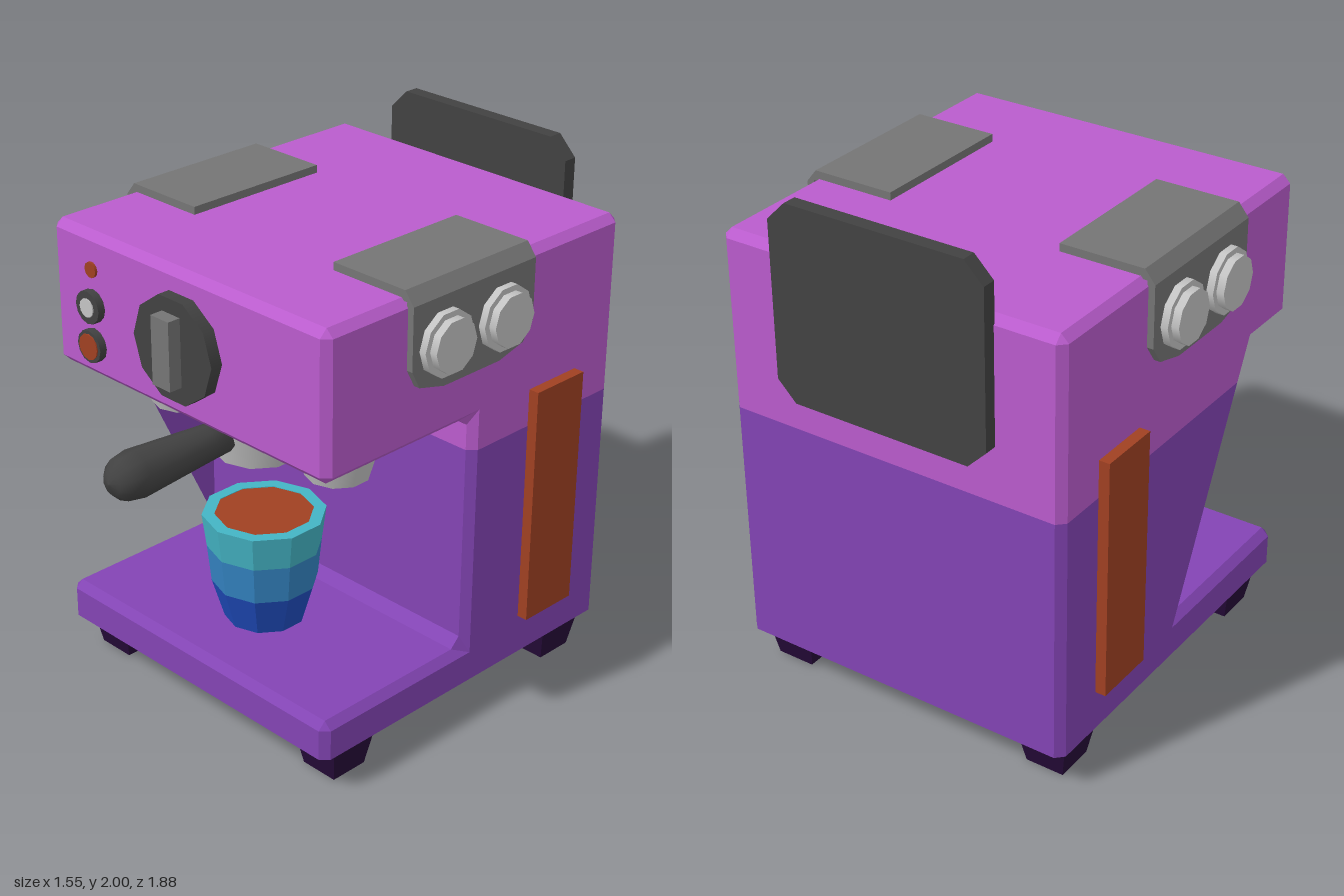
import * as THREE from 'three';

const mat = (name, color, side = THREE.FrontSide) => {
  const m = new THREE.MeshStandardMaterial({ color, side });
  m.name = name;
  return m;
};

export function createModel() {
  const model = new THREE.Group();
  model.name = 'espressoMachine';
  const pink = mat('pink', 0xba5ccd, THREE.DoubleSide);
  const purple = mat('purple', 0x8344b4, THREE.DoubleSide);
  const plum = mat('darkPlum', 0x250a38);
  const rust = mat('rust', 0xa04022);
  const grey = mat('grey', 0x757575);
  const dark = mat('charcoal', 0x424242);
  const light = mat('lightGrey', 0xc4c4c4);
  const cyan = mat('cyan', 0x44b4c4, THREE.DoubleSide);
  const azure = mat('azure', 0x3484c2, THREE.DoubleSide);
  const blue = mat('blue', 0x1f4cbe, THREE.DoubleSide);

  const add = (name, geo, material, x = 0, y = 0, z = 0) => {
    const m = new THREE.Mesh(geo, material);
    m.name = name;
    m.position.set(x, y, z);
    model.add(m);
    return m;
  };
  const box = (w, h, d) => new THREE.BoxGeometry(w, h, d);
  const cyl = (rTop, rBottom, h, n = 10) => new THREE.CylinderGeometry(rTop, rBottom, h, n);
  const flat = (geo) => {
    const g = geo.index ? geo.toNonIndexed() : geo;
    g.computeVertexNormals();
    return g;
  };
  const shapeOf = (pts) => new THREE.Shape(pts.map(([a, b]) => new THREE.Vector2(a, b)));
  // Outline in (z, y) turned to face outward on side s
  const sideShape = (pts, s) => shapeOf(pts.map(([z, y]) => [-s * z, y]));

  // Body: open shell swept across x, rows are [z, y, bevelled z, bevelled y]
  const W = 0.695, B = 0.03;
  const shell = (rows) => {
    const pos = [], idx = [];
    rows.forEach(([z, y, zi, yi], r) => {
      pos.push(-W, yi, zi, -W + B, y, z, W - B, y, z, W, yi, zi);
      if (r === 0) return;
      for (let i = 0; i < 3; i++) {
        const a = (r - 1) * 4 + i, d = r * 4 + i;
        idx.push(a, a + 1, d + 1, a, d + 1, d);
      }
    });
    const g = new THREE.BufferGeometry();
    g.setAttribute('position', new THREE.Float32BufferAttribute(pos, 3));
    g.setIndex(idx);
    return flat(g);
  };
  const cap = (name, pts, s, material) => {
    const g = new THREE.ShapeGeometry(sideShape(pts, s));
    g.rotateY(s * Math.PI / 2);
    add(name, g, material, s * W);
  };
  add('baseAndInnerWall', shell([
    [0.59, 0.15, 0.56, 0.15], [0.59, 0.27, 0.56, 0.27], [0.56, 0.3, 0.56, 0.27],
    [-0.09, 0.3, -0.16, 0.27], [-0.13, 0.34, -0.16, 0.27], [-0.13, 1.11, -0.16, 1.11],
  ]), purple);
  add('lowerBack', shell([[-0.89, 1.11, -0.86, 1.11], [-0.89, 0.15, -0.86, 0.15]]), purple);
  add('head', shell([
    [-0.13, 1.11, -0.16, 1.11], [-0.13, 1.21, -0.16, 1.27], [-0.09, 1.24, -0.16, 1.27],
    [0.56, 1.24, 0.56, 1.27], [0.59, 1.27, 0.56, 1.27], [0.59, 1.77, 0.56, 1.77],
    [0.56, 1.8, 0.56, 1.77], [-0.86, 1.8, -0.86, 1.77], [-0.89, 1.77, -0.86, 1.77],
    [-0.89, 1.11, -0.86, 1.11],
  ]), pink);
  // Side walls; the right one has a sloping brace below the head
  for (const s of [1, -1]) {
    const zMid = s > 0 ? -0.16 : 0.243, zTop = s > 0 ? -0.16 : 0.32;
    cap('lowerSide', [[0.56, 0.15], [0.56, 0.27], [-0.16, 0.27], [zMid, 1.11],
      [-0.86, 1.11], [-0.86, 0.15]], s, purple);
    cap('upperSide', [[zMid, 1.11], [zTop, 1.27], [0.56, 1.27], [0.56, 1.77],
      [-0.86, 1.77], [-0.86, 1.11]], s, pink);
  }

  // Back panel with clipped corners
  const c = 0.075, pw = 0.433, y0 = 1.25, y1 = 2;
  add('backPanel', new THREE.ExtrudeGeometry(shapeOf([
    [-pw + c, y0], [pw - c, y0], [pw, y0 + c], [pw, y1 - c],
    [pw - c, y1], [-pw + c, y1], [-pw, y1 - c], [-pw, y0 + c],
  ]), { depth: 0.055, bevelEnabled: false }), dark, 0, 0, -0.94);

  for (const s of [1, -1]) {
    // Grey saddle plate folded over the top edge
    const fold = shapeOf([[0.35, 1.83], [0.68, 1.83], [0.72, 1.78], [0.72, 1.75],
      [0.69, 1.75], [0.69, 1.79], [0.35, 1.79]].map(([x, y]) => [s * x, y]));
    add('saddleTop', new THREE.ExtrudeGeometry(fold, { depth: 0.61, bevelEnabled: false }), grey, 0, 0, -0.395);
    const flap = new THREE.ExtrudeGeometry(sideShape([[0.215, 1.75], [0.215, 1.545], [0.178, 1.476],
      [0.056, 1.444], [-0.225, 1.444], [-0.347, 1.476], [-0.395, 1.545], [-0.395, 1.75]], s),
    { depth: 0.025, bevelEnabled: false });
    flap.rotateY(s * Math.PI / 2);
    add('saddleSide', flap, grey, s * 0.695);

    // Round side dials
    for (const z of [0.061, -0.232]) {
      add('dialRim', cyl(0.122, 0.122, 0.035), light, s * 0.73, 1.61, z).rotation.z = Math.PI / 2;
      add('dialCap', cyl(0.1, 0.1, 0.06), light, s * 0.747, 1.61, z).rotation.z = Math.PI / 2;
    }

    add('sideTrim', box(0.045, 0.945, 0.25), rust, s * 0.714, 0.783, -0.552);

    // Tapered feet
    for (const z of [0.413, -0.722]) {
      const foot = cyl(0.146, 0.108, 0.15, 4);
      foot.rotateY(Math.PI / 4);
      add('foot', flat(foot), plum, s * 0.565, 0.075, z);
    }
  }

  // Front controls
  const disc = (name, r, depth, material, x, y, n = 10) => {
    const g = cyl(r, r, depth, n);
    g.rotateY(Math.PI / 2);
    g.rotateX(Math.PI / 2);
    add(name, g, material, x, y, 0.585 + depth / 2);
  };
  disc('knob', 0.2, 0.053, dark, 0, 1.523);
  add('knobGrip', box(0.09, 0.26, 0.06), grey, 0, 1.528, 0.66);
  disc('indicatorLamp', 0.03, 0.015, rust, -0.475, 1.663);
  disc('upperButtonRim', 0.063, 0.035, dark, -0.475, 1.525, 12);
  disc('upperButton', 0.036, 0.04, light, -0.475, 1.525, 12);
  disc('lowerButtonRim', 0.063, 0.035, dark, -0.475, 1.373, 12);
  disc('lowerButton', 0.05, 0.04, rust, -0.475, 1.373, 12);

  // Brew heads: dark collar above a tapering light cup
  for (const [x, r, rEnd, yEnd] of [[-0.405, 0.143, 0.118, 1.06], [0, 0.197, 0.163, 1.005], [0.405, 0.143, 0.118, 1.06]]) {
    add('brewCollar', cyl(r, r, 0.105), dark, x, 1.197, 0.243);
    add('brewCup', cyl(r, rEnd, 1.145 - yEnd), light, x, (1.145 + yEnd) / 2, 0.243);
  }

  // Handle of the middle brew head
  const handle = new THREE.LatheGeometry([[0, 0.38], [0.06, 0.38], [0.067, 0.5], [0.09, 0.82],
    [0.078, 0.89], [0.045, 0.925], [0, 0.938]].map(([r, z]) => new THREE.Vector2(r, z)), 10);
  handle.rotateX(Math.PI / 2);
  add('handle', handle, dark, 0, 1.118, 0);

  // Faceted cup in three bands, open at the foot
  const bands = [[0.15, 0.288, 0.2, 0.457, blue], [0.2, 0.457, 0.215, 0.605, azure], [0.215, 0.605, 0.232, 0.738, cyan]];
  for (const [r0, b, r1, t, m] of bands) {
    add('cupBand', flat(new THREE.CylinderGeometry(r1, r0, t - b, 10, 1, true)), m, 0, (b + t) / 2, 0.217);
  }
  const rim = new THREE.RingGeometry(0.185, 0.232, 10, 1, Math.PI / 2);
  rim.rotateX(-Math.PI / 2);
  add('cupRim', rim, cyan, 0, 0.738, 0.217);
  add('coffee', cyl(0.187, 0.187, 0.008), rust, 0, 0.73, 0.217);

  return model;
}
